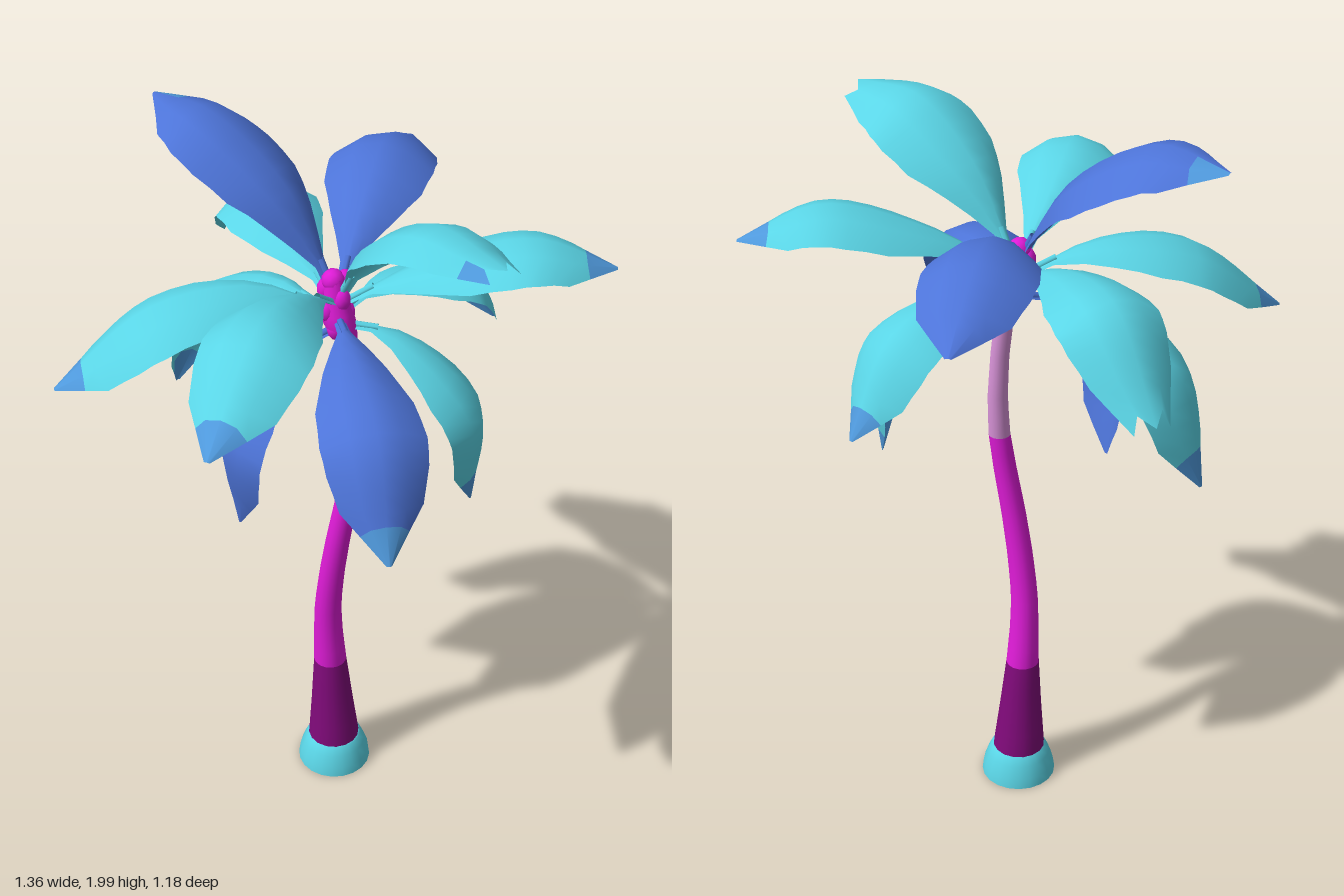
import * as THREE from 'three';
import { mergeVertices } from 'three/addons/utils/BufferGeometryUtils.js';

const mat = (name, color, side = THREE.FrontSide) => {
  const m = new THREE.MeshStandardMaterial({ color, side });
  m.name = name;
  return m;
};

// Trunk centre line: x, y, z, radius
const TRUNK = [
  [0.033, 0.07, 0.018, 0.075], [0.029, 0.22, 0.014, 0.06], [0.025, 0.38, 0.009, 0.046],
  [0.016, 0.5, 0.009, 0.04], [0.009, 0.6, 0.014, 0.037], [0.006, 0.72, 0.03, 0.035],
  [0.008, 0.85, 0.05, 0.033], [0.017, 0.98, 0.07, 0.031], [0.028, 1.09, 0.08, 0.029],
  [0.037, 1.2, 0.079, 0.027], [0.041, 1.33, 0.068, 0.025], [0.042, 1.46, 0.05, 0.025],
  [0.028, 1.52, 0.036, 0.042], [0.026, 1.58, 0.024, 0.036], [0.024, 1.65, 0.018, 0.024],
];

function trunkAt(y) {
  let i = 0;
  while (i < TRUNK.length - 2 && TRUNK[i + 1][1] < y) i++;
  const a = TRUNK[i], b = TRUNK[i + 1];
  const f = THREE.MathUtils.clamp((y - a[1]) / (b[1] - a[1]), 0, 1);
  return a.map((v, k) => v + (b[k] - v) * f);
}

// Cylinder bent along the trunk line between two heights
function trunkSection(y0, y1, rows) {
  let g = new THREE.CylinderGeometry(1, 1, 1, 16, rows, true);
  const p = g.attributes.position;
  for (let i = 0; i < p.count; i++) {
    const y = y0 + (p.getY(i) + 0.5) * (y1 - y0);
    const [cx, , cz, r] = trunkAt(y);
    p.setXYZ(i, cx + p.getX(i) * r, y, cz + p.getZ(i) * r);
  }
  g.deleteAttribute('uv');
  g.deleteAttribute('normal');
  g = mergeVertices(g);
  g.computeVertexNormals();
  return g;
}

// Half width along a leaf: [position, factor]
const WIDTH = [[0, 0.1], [0.12, 0.13], [0.3, 0.6], [0.45, 0.92], [0.6, 1], [0.72, 0.95], [0.84, 0.78], [1, 0.05]];
function widthAt(t, notched) {
  let i = 0;
  while (i < WIDTH.length - 2 && WIDTH[i + 1][0] < t) i++;
  const [a, wa] = WIDTH[i], [b, wb0] = WIDTH[i + 1];
  const wb = notched && b === 1 ? 0.35 : wb0;
  return wa + (wb - wa) * (t - a) / (b - a);
}

// Arched sheet swept along a curve; the last row holds the coloured tip columns
const ROWS = [0, 0.06, 0.12, 0.21, 0.3, 0.375, 0.45, 0.525, 0.6, 0.66, 0.72, 0.78, 0.84, 0.88, 1];
const COLS = 4;
const ARCH = 0.48;
function leafGeometry(curve, half, notched, tipCols, roll) {
  const a = curve.getPointAt(0), b = curve.getPointAt(1);
  const side = new THREE.Vector3(-(b.z - a.z), 0, b.x - a.x).normalize();
  const up = new THREE.Vector3();
  const pos = [], index = [];
  ROWS.forEach((t, r) => {
    for (let c = 0; c <= COLS; c++) {
      const u = (c / COLS) * 2 - 1;
      let s = t;
      if (r === ROWS.length - 1 && notched) s -= c % 2 ? 0.05 : 0;
      if (r === ROWS.length - 2) s += 0.03 * u * u;
      const w = half * widthAt(s, notched);
      const p = curve.getPointAt(s);
      up.crossVectors(side, curve.getTangentAt(s)).normalize();
      p.addScaledVector(side, w * u).addScaledVector(up, -w * (ARCH * u * u + roll * u));
      pos.push(p.x, p.y, p.z);
    }
  });
  for (let r = 0; r < ROWS.length - 1; r++) {
    for (let c = 0; c < COLS; c++) {
      const i = r * (COLS + 1) + c, j = i + COLS + 1;
      index.push(i, j, i + 1, i + 1, j, j + 1);
    }
  }
  const g = new THREE.BufferGeometry();
  g.setAttribute('position', new THREE.Float32BufferAttribute(pos, 3));
  g.setIndex(index);
  const tipCount = tipCols * 6;
  g.addGroup(0, index.length - tipCount, 0);
  if (tipCount) g.addGroup(index.length - tipCount, tipCount, 1);
  g.computeVertexNormals();
  return g;
}

// Leaves: name, colour, tip columns, half width, notched, roll, three points after the root
const LEAVES = [
  ['backUpperLeaf', 'blue', 2, 0.15, false, 0.08, [0.02, 1.86, -0.14], [0.0, 1.99, -0.36], [0.015, 1.97, -0.56]],
  ['frontUpperLeaf', 'teal', 1, 0.145, true, -0.15, [0.0, 1.82, 0.17], [-0.03, 1.95, 0.36], [-0.07, 1.935, 0.59]],
  ['leftUpperLeaf', 'blue', 0, 0.14, false, 0, [0.2, 1.75, -0.04], [0.43, 1.81, -0.15], [0.68, 1.69, -0.25]],
  ['rightUpperLeaf', 'teal', 4, 0.14, false, 0, [-0.17, 1.71, 0.06], [-0.42, 1.765, 0.15], [-0.68, 1.59, 0.235]],
  ['backLeftLeaf', 'teal', 0, 0.14, true, 0, [0.1, 1.66, -0.17], [0.235, 1.68, -0.4], [0.335, 1.46, -0.58]],
  ['backRightLeaf', 'teal', 4, 0.14, false, 0, [-0.12, 1.64, -0.12], [-0.32, 1.61, -0.28], [-0.515, 1.4, -0.44]],
  ['backLowerLeaf', 'teal', 4, 0.13, false, 0, [0.02, 1.57, -0.2], [0.01, 1.43, -0.44], [0.0, 1.12, -0.52]],
  ['rightLowerLeaf', 'blue', 0, 0.115, false, 0, [-0.12, 1.45, -0.045], [-0.255, 1.25, -0.105], [-0.22, 0.97, -0.1]],
  ['frontRightLeaf', 'blue', 4, 0.13, false, 0, [-0.12, 1.57, 0.2], [-0.28, 1.5, 0.405], [-0.37, 1.24, 0.515]],
  ['frontLeftLeaf', 'teal', 4, 0.13, false, 0, [0.16, 1.7, 0.2], [0.32, 1.77, 0.4], [0.46, 1.685, 0.56]],
  ['leftLowerLeaf', 'teal', 4, 0.12, false, 0, [0.2, 1.59, 0.06], [0.43, 1.53, 0.115], [0.575, 1.31, 0.13]],
  ['frontLowerLeaf', 'teal', 4, 0.125, false, 0, [0.11, 1.5, 0.17], [0.19, 1.32, 0.36], [0.19, 1.03, 0.35]],
];

export function createModel() {
  const model = new THREE.Group();
  model.name = 'palmTree';
  const D = THREE.DoubleSide;
  const colours = {
    teal: mat('teal leaf', 0x5ad5e6, D),
    blue: mat('blue leaf', 0x4d74d8, D),
    tip: mat('leaf tip blue', 0x4f99dc, D),
    magenta: mat('magenta bark', 0xe01cd8),
    purple: mat('dark purple bark', 0x800a7a),
    pink: mat('pink bark', 0xda94da),
  };
  const add = (name, geometry, material, parent = model) => {
    const m = new THREE.Mesh(geometry, material);
    m.name = name;
    parent.add(m);
    return m;
  };

  // Flared hollow foot with a closing disc inside
  const profile = [[0.104, 0], [0.1, 0.03], [0.088, 0.065], [0.076, 0.09], [0.068, 0.092]];
  const foot = add('foot', new THREE.LatheGeometry(profile.map(p => new THREE.Vector2(...p)), 20), colours.teal);
  foot.position.set(0.033, 0, 0.019);
  const disc = add('footDisc', new THREE.CircleGeometry(0.075, 20), colours.teal);
  disc.rotation.x = Math.PI / 2;
  disc.position.set(0.033, 0.088, 0.019);

  // Banded trunk
  add('lowerTrunk', trunkSection(0.08, 0.38, 4), colours.purple);
  add('middleTrunk', trunkSection(0.38, 1.09, 14), colours.magenta);
  add('upperTrunk', trunkSection(1.09, 1.46, 6), colours.pink);
  add('crownCore', trunkSection(1.46, 1.65, 6), colours.magenta);

  // Lumpy crown buds
  for (let i = 0; i < 9; i++) {
    const a = i * 2.4;
    const bud = add('crownBud', new THREE.IcosahedronGeometry(0.024, 1), colours.magenta);
    bud.position.set(0.03 + 0.026 * Math.cos(a), 1.5 + i * 0.016, 0.02 + 0.024 * Math.sin(a));
    bud.scale.y = 1.4;
  }
  const topBud = add('topBud', new THREE.IcosahedronGeometry(0.03, 1), colours.magenta);
  topBud.position.set(0.025, 1.64, 0.015);

  // Leaves with short round stalks
  for (const [name, colour, tipCols, half, notched, roll, ...points] of LEAVES) {
    const leaf = new THREE.Group();
    leaf.name = name;
    model.add(leaf);
    const rootY = THREE.MathUtils.clamp(1.55 + (points[0][1] - 1.6) * 0.25, 1.51, 1.59);
    const path = [[0.027, rootY, 0.028], ...points].map(p => new THREE.Vector3(...p));
    const curve = new THREE.CatmullRomCurve3(path, false, 'centripetal');
    add('blade', leafGeometry(curve, half, notched, tipCols, roll), [colours[colour], colours.tip], leaf);
    const stalk = new THREE.CatmullRomCurve3([0, 0.07, 0.14].map(t => curve.getPointAt(t)));
    add('stalk', new THREE.TubeGeometry(stalk, 4, 0.009, 6), colours[colour], leaf);
  }
  return model;
}
